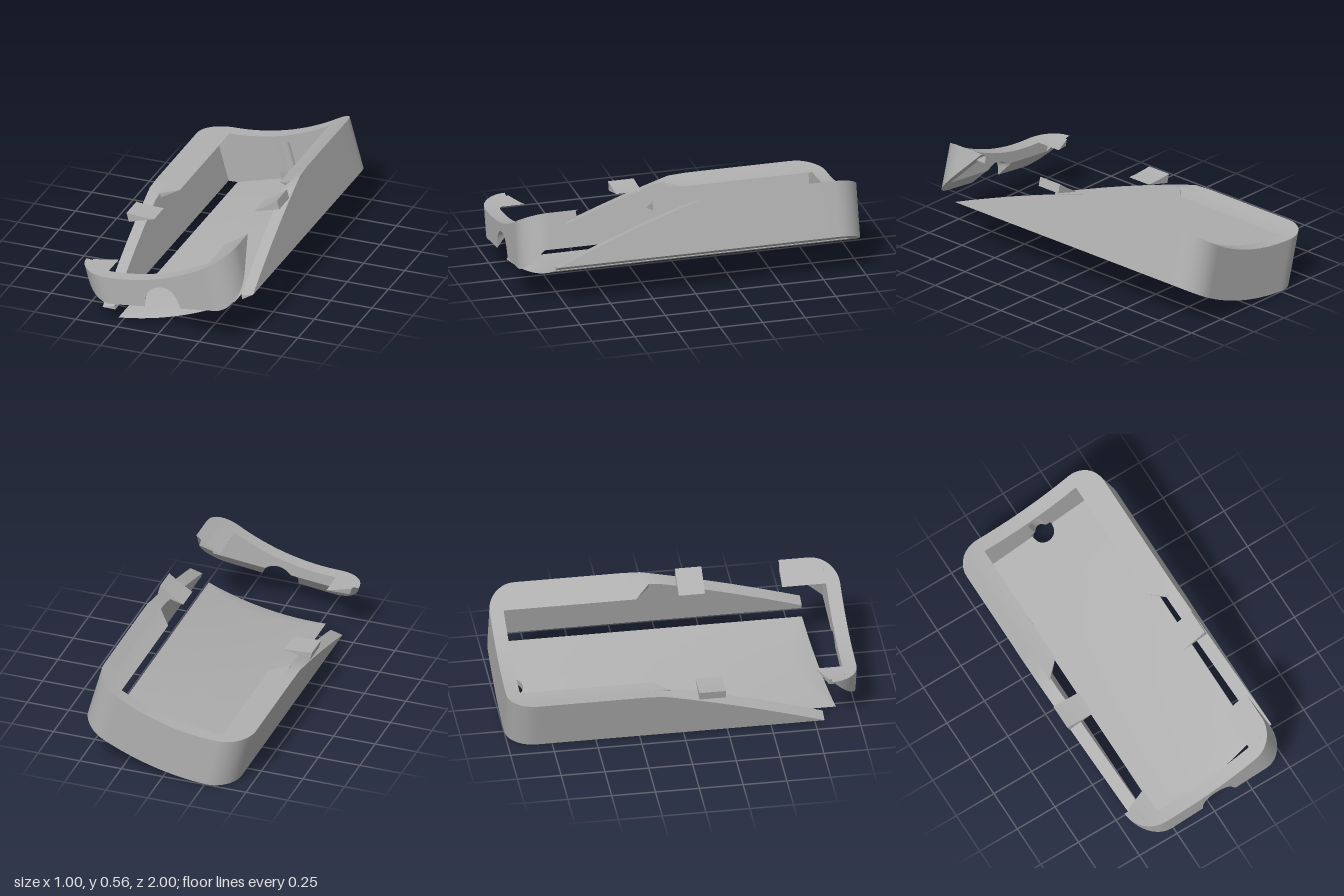
import * as THREE from 'three';
import { toCreasedNormals } from 'three/addons/utils/BufferGeometryUtils.js';

// Local frame: u across, v up, z along. The body lies between two concentric arcs.
const R_TOP = 1.24, R_BOT = 1.54, HALF = 0.474, CORNER = 0.16;
const CAV_U = 0.4, CAV_Z = 0.92, CAV_TOP = -1.2, CAV_FLOOR = -1.5;
const arc = (r, u) => -Math.sqrt(r * r - u * u);
const top = u => arc(R_TOP, u);
const bottom = u => arc(R_BOT, u);
const clamp = THREE.MathUtils.clamp;
const halfChord = (r, u) => Math.sqrt(Math.max(0, r * r - u * u));

// Closed solid through a row of cross-sections, each a loop of [u, v, z]
function loft(sections) {
  const pos = [];
  const a = new THREE.Vector3(), b = new THREE.Vector3(), c = new THREE.Vector3();
  const tris = [];
  let volume = 0;
  const tri = (p, q, r) => {
    a.set(...p); b.set(...q); c.set(...r);
    volume += a.dot(b.clone().cross(c));
    if (b.clone().sub(a).cross(c.clone().sub(a)).length() > 1e-9) tris.push([p, q, r]);
  };
  const n = sections[0].length;
  for (let i = 0; i + 1 < sections.length; i++) {
    const s = sections[i], t = sections[i + 1];
    for (let j = 0; j < n; j++) {
      const k = (j + 1) % n;
      tri(s[j], t[j], t[k]);
      tri(s[j], t[k], s[k]);
    }
  }
  const first = sections[0], last = sections[sections.length - 1];
  for (let j = 1; j + 1 < n; j++) {
    tri(first[0], first[j], first[j + 1]);
    tri(last[0], last[j + 1], last[j]);
  }
  for (const [p, q, r] of tris) pos.push(...p, ...(volume > 0 ? q : r), ...(volume > 0 ? r : q));
  const g = new THREE.BufferGeometry();
  g.setAttribute('position', new THREE.Float32BufferAttribute(pos, 3));
  return toCreasedNormals(g, 0.45);
}

// U-shaped plan path around one end (dir = 1 front, -1 back), right tip to left tip
function endPath(dir, zRight, zLeft) {
  const path = [];
  const straight = 16, corner = 10, across = 64;
  const cu = HALF - CORNER, cz = dir * (1 - CORNER);
  for (let i = 0; i < straight; i++) path.push([HALF, THREE.MathUtils.lerp(zRight, cz, i / straight)]);
  for (let i = 0; i < corner; i++) {
    const t = i / corner * Math.PI / 2;
    path.push([cu + CORNER * Math.cos(t), cz + dir * CORNER * Math.sin(t)]);
  }
  for (let i = 0; i <= across; i++) path.push([cu - 2 * cu * i / across, dir]);
  for (let i = 1; i <= corner; i++) {
    const t = i / corner * Math.PI / 2;
    path.push([-cu - CORNER * Math.sin(t), cz + dir * CORNER * Math.cos(t)]);
  }
  for (let i = 1; i <= straight; i++) path.push([-HALF, THREE.MathUtils.lerp(cz, zLeft, i / straight)]);
  return path;
}
const inner = (u, z) => [clamp(u, -CAV_U, CAV_U), clamp(z, -CAV_Z, CAV_Z)];

// Back wall and both sloping side walls, with a stepped hole let into the back wall
function rearFrame() {
  const rim = (u, z) => {
    const t = clamp((z + 0.14) / 0.945, 0, 1);
    const cut = z < -0.14 ? 0 : -1.146 - 0.319 * t + 0.06 * t * (1 - t);
    return Math.max(Math.min(top(u), cut), bottom(u));
  };
  return loft(endPath(-1, 0.805, 0.805).map(([u, z]) => {
    const [iu, iz] = inner(u, z);
    const hi = rim(iu, z), lo = bottom(iu);
    const bore = r => (z < -0.99 ? Math.min(iz, -0.91 - halfChord(r, u)) : iz);
    const lv = v => clamp(v, lo, hi);
    const wide = bore(0.065), narrow = bore(0.035);
    return [
      [u, rim(u, z), z], [u, bottom(u), z],
      [iu, lo, wide], [iu, lv(-1.464), wide],
      [iu, lv(-1.464), narrow], [iu, lv(-1.28), narrow],
      [iu, lv(-1.28), iz], [iu, hi, iz],
    ];
  }));
}

// Front band, trimmed below by a slanting cut and a round notch
function frontBand() {
  const lower = (u, z) => {
    let v = -1.416 - 0.15 * u + (1.15 - 0.21 * u) * (1 - z);
    if (Math.abs(u) < 0.1) v = Math.max(v, -1.39 + halfChord(0.1, u));
    return Math.min(v, top(u));
  };
  return loft(endPath(1, 0.67, 0.838).map(([u, z]) => {
    const [iu, iz] = inner(u, z);
    return [[u, top(u), z], [u, lower(u, z), z], [iu, lower(iu, iz), iz], [iu, top(iu), iz]];
  }));
}

// Wedge of the top lip between the cavity ceiling and the upper arc
function lip(side, uEnd, zBack, zFront) {
  const sections = [];
  for (let i = 0; i <= 5; i++) {
    const d = 0.315 + (uEnd - 0.315) * i / 5, u = side * d;
    const zb = zBack(d), zf = zFront(d), hi = Math.max(top(u), CAV_TOP);
    sections.push([[u, CAV_TOP, zb], [u, CAV_TOP, zf], [u, hi, zf], [u, hi, zb]]);
  }
  return loft(sections);
}

// Floor: flat above, curved below, bevelled at the front, notched round the hole
function floorPanel() {
  const sections = [], steps = 72, edge = 0.348;
  for (let i = 0; i <= steps; i++) {
    const u = -edge + 2 * edge * i / steps;
    const lo = Math.min(bottom(u), CAV_FLOOR);
    const zFront = 0.845 - 0.13 * u;
    const zBack = Math.max(-0.925, Math.abs(u) < 0.065 ? -0.91 + halfChord(0.065, u) : -1);
    sections.push([
      [u, CAV_FLOOR, zBack], [u, CAV_FLOOR, zFront - 3.5 * (CAV_FLOOR - lo)],
      [u, lo, zFront], [u, lo, zBack],
    ]);
  }
  return loft(sections);
}

export function createModel() {
  const grey = new THREE.MeshStandardMaterial({ color: 0xb0b0b0, side: THREE.DoubleSide });
  grey.name = 'plain grey';
  const model = new THREE.Group();
  model.name = 'curvedCase';
  const body = new THREE.Group();
  body.name = 'tiltedBody';
  body.rotation.z = THREE.MathUtils.degToRad(15.3);
  body.position.set(-0.344, 1.54, 0);
  model.add(body);
  const add = (name, geometry) => {
    const mesh = new THREE.Mesh(geometry, grey);
    mesh.name = name;
    body.add(mesh);
  };

  add('rearFrame', rearFrame());
  add('floorPanel', floorPanel());
  add('frontBand', frontBand());
  for (const side of [1, -1]) {
    const name = side > 0 ? 'left' : 'right';
    add(name + 'RearLip', lip(side, 0.41, () => -0.925, d => -0.16 + (d - 0.32)));
    add(name + 'Clip', lip(side, HALF, () => 0.08, () => 0.23));
    add(name + 'FrontLip', lip(side, 0.44,
      d => (side > 0 ? 0.67 : 0.77 + (d - 0.32) * 0.45), d => (d > 0.41 ? 0.9 : 0.925)));
  }
  return model;
}
